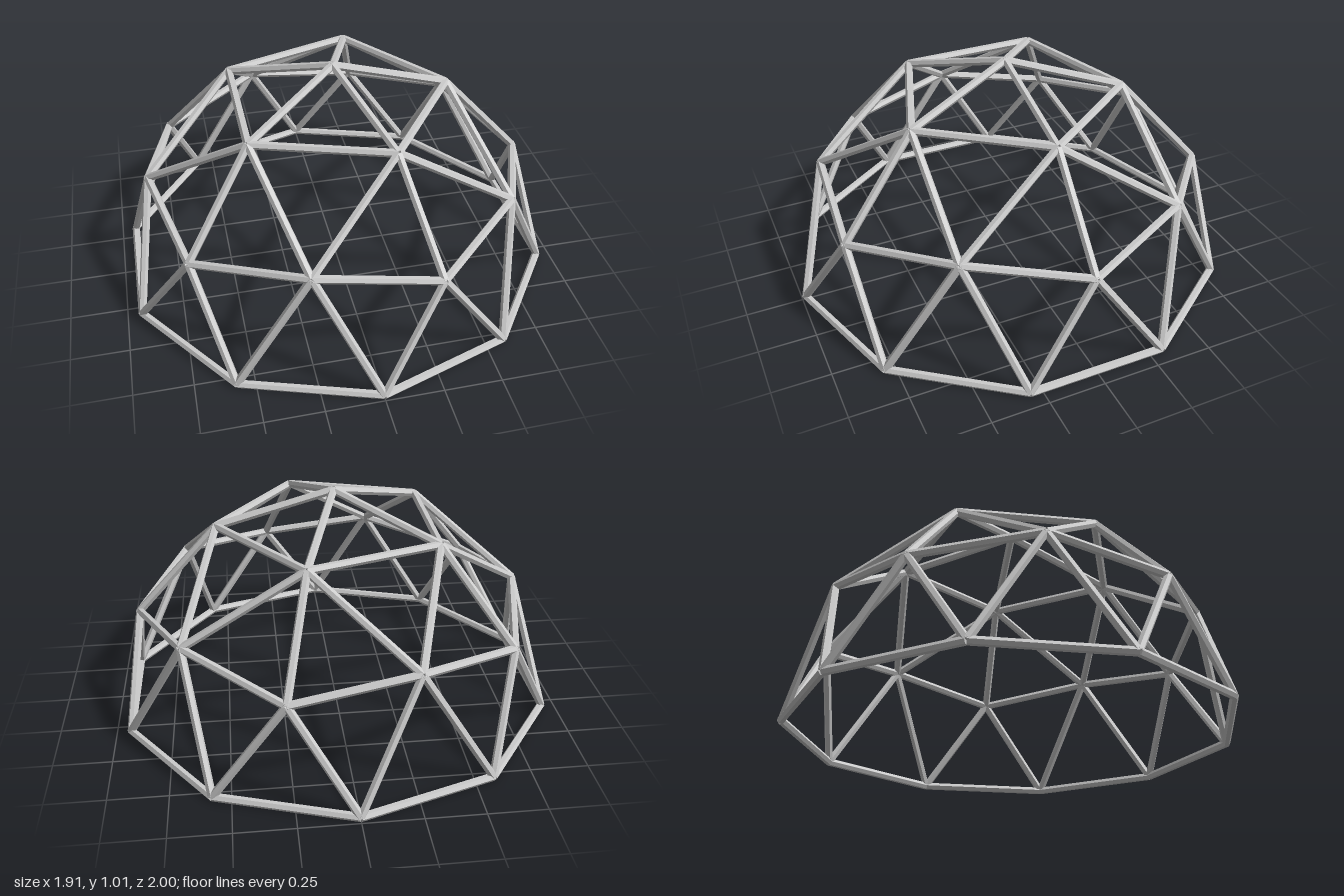
import * as THREE from 'three';

const R = 0.983; // dome radius
const r = 0.018; // strut radius
const lift = r * Math.cos(Math.PI / 6); // base struts rest on y = 0

// A ring of dome nodes; height(i) is a fraction of the dome radius
function ring(count, height, offset = 0) {
  return Array.from({ length: count }, (_, i) => {
    const a = ((i + offset) / count) * Math.PI * 2;
    const h = height(i);
    const s = Math.sqrt(1 - h * h);
    return new THREE.Vector3(R * s * Math.cos(a), R * h + lift, R * s * Math.sin(a));
  });
}

export function createModel() {
  const model = new THREE.Group();
  model.name = 'geodesicDome';
  const material = new THREE.MeshStandardMaterial({ color: 0xcccccc, flatShading: true });

  // Six-sided strut from a to b, with a flat side on top
  function strut(name, a, b) {
    const geometry = new THREE.CylinderGeometry(r, r, a.distanceTo(b), 6, 1, false, Math.PI / 6);
    geometry.rotateX(Math.PI / 2);
    const mesh = new THREE.Mesh(geometry, material);
    mesh.name = name;
    mesh.position.copy(a).add(b).multiplyScalar(0.5);
    mesh.lookAt(b);
    model.add(mesh);
  }

  // Nodes: apex, upper ring, zigzag middle ring, base ring
  const apex = new THREE.Vector3(0, R + lift, 0);
  const upper = ring(5, () => 0.8507);
  const middle = ring(10, (i) => (i % 2 ? 0.5257 : 0.4472));
  const base = ring(10, () => 0, 0.5);

  // Crown
  upper.forEach((p, i) => {
    strut('crownStrut', apex, p);
    strut('upperRingStrut', p, upper[(i + 1) % 5]);
    for (const k of [-1, 0, 1]) strut('shoulderStrut', p, middle[(2 * i + k + 10) % 10]);
  });

  // Lower wall and base
  middle.forEach((p, i) => {
    strut('middleRingStrut', p, middle[(i + 1) % 10]);
    strut('wallStrut', p, base[i]);
    strut('wallStrut', p, base[(i + 9) % 10]);
    strut('baseStrut', base[i], base[(i + 1) % 10]);
  });

  return model;
}
